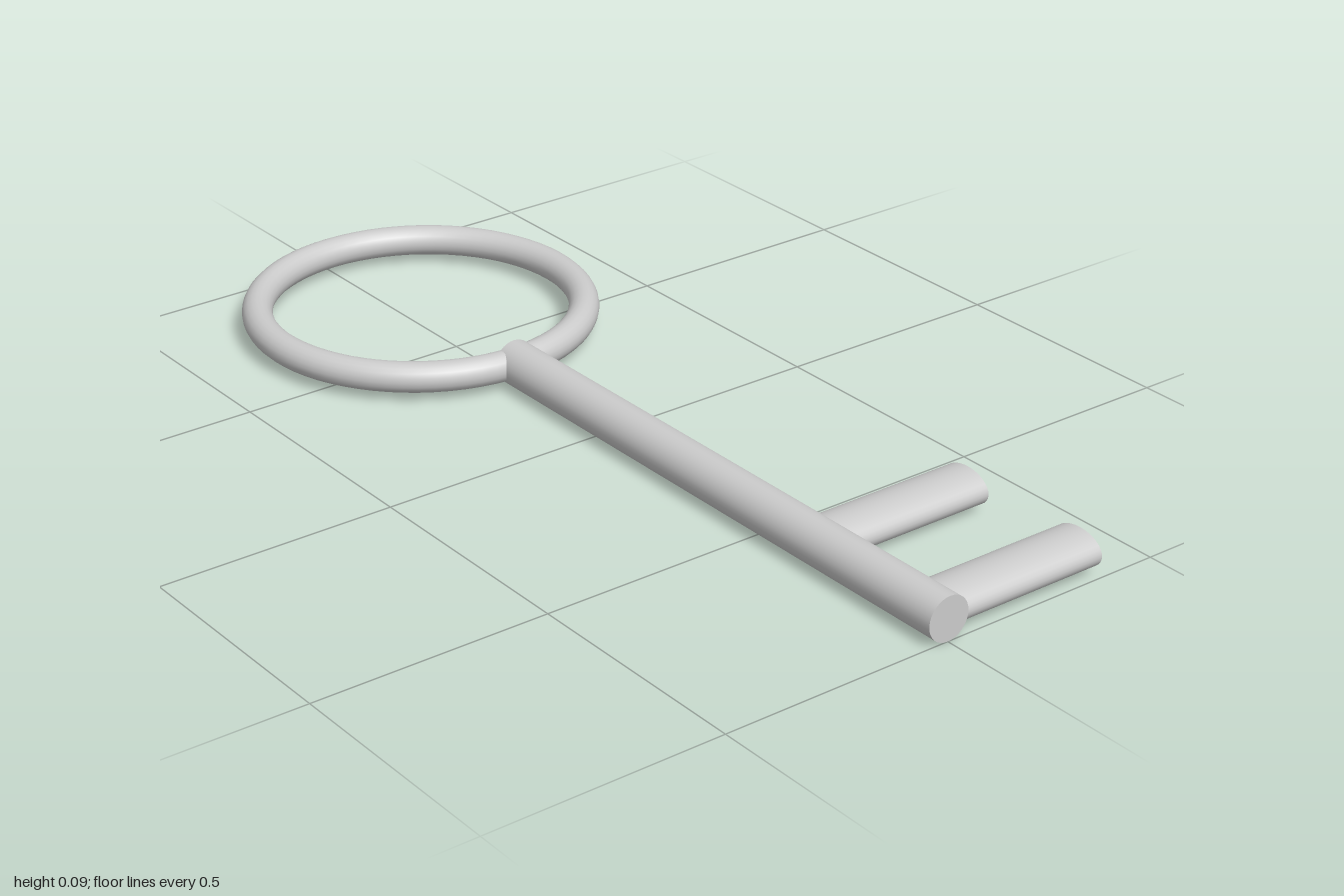
import * as THREE from 'three';

export function createModel() {
  const key = new THREE.Group();
  key.name = 'key';
  const material = new THREE.MeshStandardMaterial({ color: 0xcccccc });

  const add = (name, geometry, x, y, z) => {
    const mesh = new THREE.Mesh(geometry, material);
    mesh.name = name;
    mesh.position.set(x, y, z);
    key.add(mesh);
    return mesh;
  };

  // Ring handle lying flat
  const ring = new THREE.TorusGeometry(0.341, 0.032, 20, 72).rotateX(Math.PI / 2);
  add('ringHandle', ring, -0.627, 0.047, 0);

  // Round shaft running from the ring to the tip
  const start = -0.295, end = 1;
  const shaft = new THREE.CylinderGeometry(0.046, 0.046, end - start, 32).rotateZ(Math.PI / 2);
  add('shaft', shaft, (start + end) / 2, 0.046, 0);

  // Two teeth with a flattened oval section, pointing back
  const length = 0.375;
  [['innerTooth', 0.64], ['outerTooth', 0.938]].forEach(([name, x]) => {
    const tooth = new THREE.CylinderGeometry(1, 1, length, 32).rotateX(Math.PI / 2);
    tooth.scale(0.06, 0.0365, 1);
    add(name, tooth, x, 0.041, -length / 2);
  });

  return key;
}
